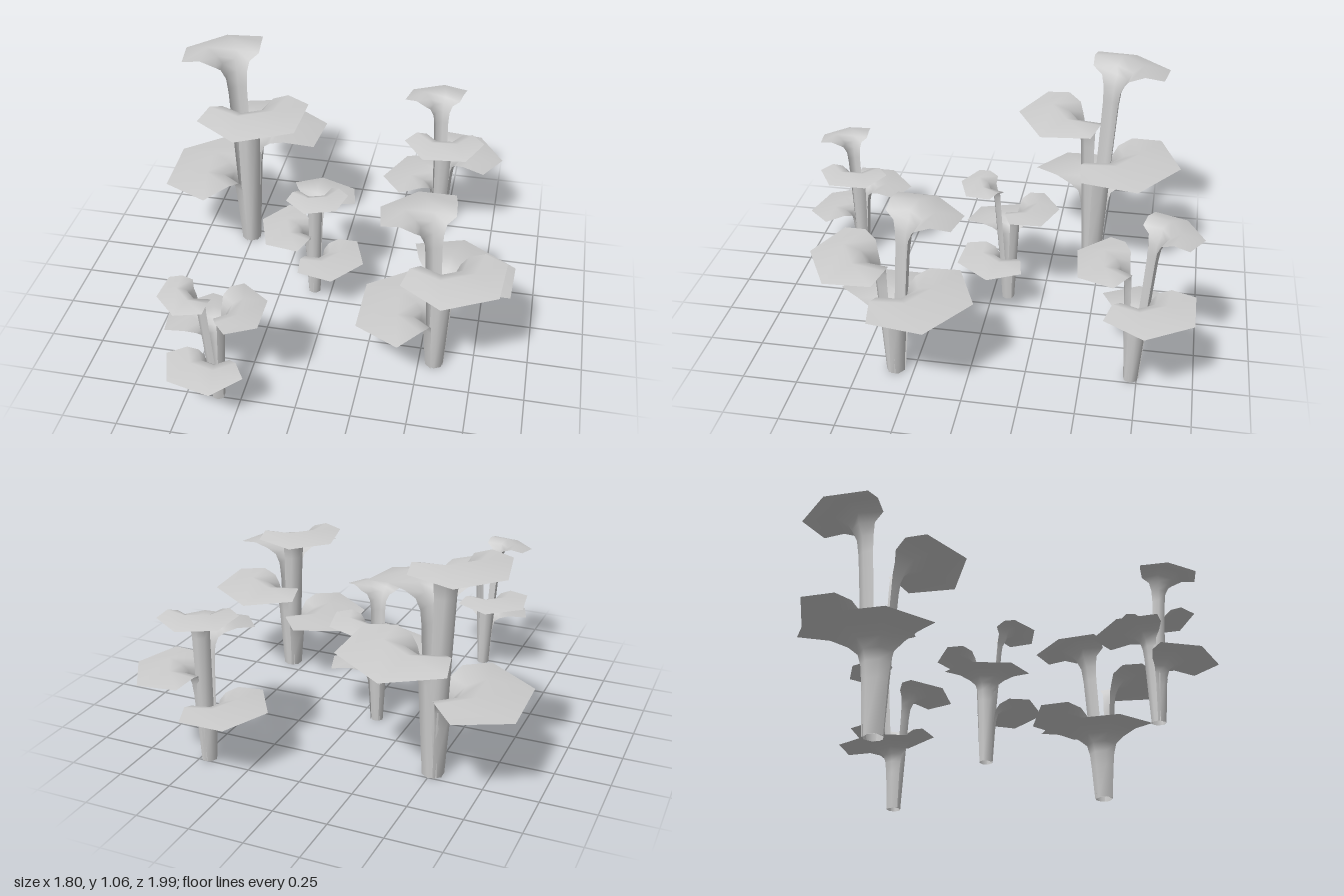
import * as THREE from 'three';

const material = new THREE.MeshStandardMaterial({ color: 0xcccccc, side: THREE.DoubleSide });

// Each plant: position, total height, size, and leaf directions (degrees from +x towards +z), lowest first
const plants = [
  { x: -0.507, z: -0.453, height: 1.06, size: 1, angles: [178, -55, 62, 223] },
  { x: 0.574, z: 0.335, height: 0.79, size: 0.89, angles: [180, -56, 62, 225] },
  { x: 0.463, z: -0.722, height: 0.765, size: 0.72, angles: [204, -32, 84, 243] },
  { x: -0.085, z: -0.08, height: 0.66, size: 0.615, angles: [38, 162, 291, 71] },
  { x: -0.355, z: 0.737, height: 0.655, size: 0.61, angles: [104, 230, 0, 135] },
];

// Leaf tiers from low to high: share of plant height, reach, sheath scale, outward lean, blade spread
const tiers = [
  { level: 0.425, reach: 0.43, sheath: 1.06, lean: 0.02, spread: 1 },
  { level: 0.62, reach: 0.43, sheath: 1.02, lean: 0.03, spread: 1 },
  { level: 0.83, reach: 0.39, sheath: 0.97, lean: 0.035, spread: 0.97 },
  { level: 1, reach: 0.375, sheath: 0.92, lean: 0.07, spread: 0.81 },
];

// A leaning sheath around the stem axis that flares out into a drooping blade with four rim corners
function leafGeometry(height, size, { level, reach, sheath, lean, spread }) {
  const top = height * level;
  // rows: radius, height, half-angle of the inner and outer columns, side radius factor, side lift, share of lean
  const rows = [
    [0.048 * sheath, 0, 25, 74, 1, 0, 1],
    [0.06 * sheath, top - 0.2 * size, 25, 75, 1, 0, 1],
    [0.067 * sheath, top - 0.12 * size, 26, 77, 1, 0, 1],
    [0.085, top - 0.068 * size, 26, 78, 1, 0, 1],
    [0.13, top - 0.03 * size, 26, 79, 1, 0, 0.6],
    [0.22, top, 25 * spread, 73 * spread, 0.95, -0.004, 0.2],
    [reach, top - 0.045 * size, 23 * spread, 62 * spread, 0.82, 0.022, 0],
  ];
  const position = [], index = [];
  rows.forEach(([r, y, inner, outer, sideFactor, lift, leanShare], i) => {
    [-outer, -inner, inner, outer].forEach((deg, j) => {
      const side = j === 0 || j === 3;
      const a = THREE.MathUtils.degToRad(deg);
      const radius = r * size * (side ? sideFactor : 1);
      position.push(
        Math.cos(a) * radius + lean * y * leanShare,
        y + (side ? lift * size : 0),
        Math.sin(a) * radius,
      );
      if (i > 0 && j > 0) {
        const c = i * 4 + j, b = c - 1, d = c - 4, e = d - 1;
        index.push(e, b, d, b, c, d);
      }
    });
  });
  const geometry = new THREE.BufferGeometry();
  geometry.setAttribute('position', new THREE.Float32BufferAttribute(position, 3));
  geometry.setIndex(index);
  geometry.computeVertexNormals();
  return geometry;
}

export function createModel() {
  const model = new THREE.Group();
  model.name = 'plantCluster';
  plants.forEach(({ x, z, height, size, angles }) => {
    const plant = new THREE.Group();
    plant.name = 'plant';
    plant.position.set(x, 0, z);
    angles.forEach((angle, i) => {
      const leaf = new THREE.Mesh(leafGeometry(height, size, tiers[i]), material);
      leaf.name = 'leaf';
      leaf.rotation.y = -THREE.MathUtils.degToRad(angle);
      plant.add(leaf);
    });
    model.add(plant);
  });
  return model;
}
